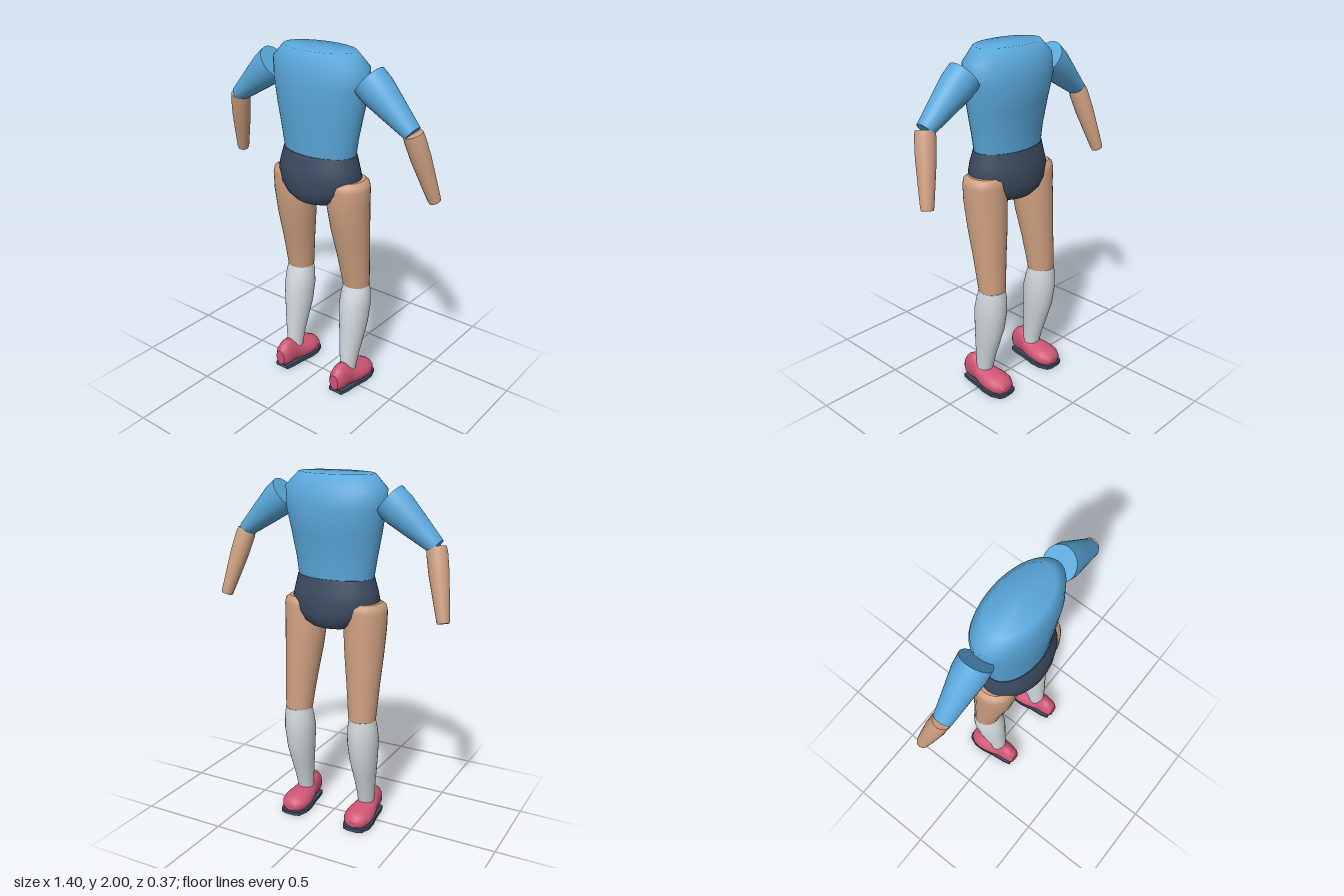
import * as THREE from 'three';

const mat = (name, color) => Object.assign(new THREE.MeshStandardMaterial({ color }), { name });

// Smooth skin through elliptical rings [y, cx, cz, rx, rz], bottom to top, with flat end caps
function loft(rings, seg = 32) {
  const pos = [], idx = [];
  const addRing = ([y, cx, cz, rx, rz]) => {
    const start = pos.length / 3;
    for (let j = 0; j < seg; j++) {
      const a = (j / seg) * Math.PI * 2;
      pos.push(cx + rx * Math.cos(a), y, cz + rz * Math.sin(a));
    }
    return start;
  };
  const starts = rings.map(addRing);
  for (let i = 0; i < rings.length - 1; i++) {
    for (let j = 0; j < seg; j++) {
      const k = (j + 1) % seg, p = starts[i], q = starts[i + 1];
      idx.push(p + j, q + j, p + k, p + k, q + j, q + k);
    }
  }
  // Caps own their vertices so the rims stay crisp
  [[rings[0], false], [rings[rings.length - 1], true]].forEach(([r, top]) => {
    const s = addRing(r), c = pos.length / 3;
    pos.push(r[1], r[0], r[2]);
    for (let j = 0; j < seg; j++) {
      const k = (j + 1) % seg;
      if (top) idx.push(c, s + k, s + j);
      else idx.push(c, s + j, s + k);
    }
  });
  const g = new THREE.BufferGeometry();
  g.setAttribute('position', new THREE.Float32BufferAttribute(pos, 3));
  g.setIndex(idx);
  g.computeVertexNormals();
  return g;
}

// Ring from outline extents: y, xMin, xMax, zMin, zMax
const span = (y, x0, x1, z0, z1) => [y, (x0 + x1) / 2, (z0 + z1) / 2, (x1 - x0) / 2, (z1 - z0) / 2];

// Tapered limb from a to b; sections are [fraction, radius, depth radius]
function limb(a, b, sections) {
  const A = new THREE.Vector3(...a), d = new THREE.Vector3(...b).sub(A), len = d.length();
  const g = loft(sections.map(([t, r, rz]) => [-t * len, 0, 0, r, rz]).reverse());
  g.applyQuaternion(new THREE.Quaternion().setFromUnitVectors(new THREE.Vector3(0, -1, 0), d.normalize()));
  return g.translate(A.x, A.y, A.z);
}

export function createModel() {
  const model = new THREE.Group();
  model.name = 'figure';
  const shirt = mat('shirt blue', 0x5aa8dc);
  const navy = mat('navy', 0x3b4a60);
  const skin = mat('skin', 0xcd9f80);
  const sock = mat('sock grey', 0xd3dade);
  const pink = mat('shoe pink', 0xcf5574);
  const add = (name, geo, material, parent = model) => {
    const m = new THREE.Mesh(geo, material);
    m.name = name;
    parent.add(m);
    return m;
  };

  // Torso, closed softly at the neck
  add('torso', loft([
    span(1.43, -0.222, 0.222, -0.115, 0.152),
    span(1.54, -0.238, 0.238, -0.122, 0.162),
    span(1.68, -0.265, 0.265, -0.142, 0.175),
    span(1.82, -0.29, 0.29, -0.17, 0.185),
    span(1.925, -0.298, 0.298, -0.142, 0.172),
    span(2, -0.222, 0.222, -0.102, 0.145),
    span(2, -0.001, 0.001, 0.02, 0.022),
  ], 40), shirt);

  // Shorts
  add('shorts', loft([
    span(1.17, -0.145, 0.145, -0.11, 0.15),
    span(1.2, -0.195, 0.195, -0.138, 0.175),
    span(1.25, -0.242, 0.242, -0.147, 0.184),
    span(1.32, -0.258, 0.258, -0.147, 0.186),
    span(1.37, -0.247, 0.247, -0.138, 0.18),
    span(1.445, -0.228, 0.228, -0.12, 0.157),
  ], 40), navy);

  for (const s of [1, -1]) {
    const side = new THREE.Group();
    side.name = s > 0 ? 'leftLimbs' : 'rightLimbs';
    model.add(side);
    const mirror = rings => rings.map(([y, cx, ...r]) => [y, cx * s, ...r]);

    // Arm
    add('upperArm', limb([0.312 * s, 1.873, 0.018], [0.58 * s, 1.652, 0.02], [
      [0, 0.098, 0.09], [0.2, 0.096, 0.09], [0.5, 0.078, 0.075], [0.8, 0.059, 0.061], [1, 0.046, 0.052],
    ]), shirt, side);
    add('forearm', limb([0.58 * s, 1.65, 0.018], [0.67 * s, 1.28, -0.08], [
      [0, 0.052, 0.05], [0.08, 0.056, 0.053], [0.35, 0.054, 0.052], [0.7, 0.043, 0.043], [0.96, 0.035, 0.035], [1, 0.031, 0.031],
    ]), skin, side);

    // Leg
    add('thigh', loft(mirror([
      span(0.655, 0.125, 0.282, -0.13, 0.02),
      span(0.72, 0.118, 0.286, -0.128, 0.032),
      span(0.85, 0.103, 0.291, -0.124, 0.06),
      span(1.02, 0.08, 0.299, -0.12, 0.103),
      span(1.17, 0.065, 0.306, -0.113, 0.128),
      span(1.27, 0.07, 0.308, -0.109, 0.13),
      span(1.3, 0.085, 0.3, -0.105, 0.125),
      span(1.318, 0.12, 0.275, -0.085, 0.1),
    ])), skin, side);
    add('sock', loft(mirror([
      span(0.11, 0.158, 0.25, -0.038, 0.064),
      span(0.2, 0.152, 0.258, -0.062, 0.064),
      span(0.3, 0.14, 0.272, -0.094, 0.062),
      span(0.4, 0.127, 0.285, -0.125, 0.058),
      span(0.52, 0.117, 0.294, -0.142, 0.056),
      span(0.6, 0.121, 0.291, -0.139, 0.036),
      span(0.655, 0.13, 0.282, -0.133, 0.018),
    ])), sock, side);

    // Shoe: sections [z, centre height, half width, half height], flattened underneath
    const shoe = loft([
      [-0.178, 0.042, 0.03, 0.018], [-0.165, 0.045, 0.055, 0.04], [-0.13, 0.05, 0.077, 0.053],
      [-0.08, 0.055, 0.084, 0.057], [-0.03, 0.057, 0.077, 0.062], [0.02, 0.065, 0.064, 0.066],
      [0.06, 0.087, 0.055, 0.083], [0.1, 0.085, 0.051, 0.087], [0.135, 0.08, 0.045, 0.07], [0.155, 0.075, 0.03, 0.048],
    ].map(([z, cy, w, h]) => [z, 0, -cy, w, h]));
    shoe.rotateX(Math.PI / 2);
    const p = shoe.attributes.position;
    for (let i = 0; i < p.count; i++) p.setY(i, Math.max(0.02, p.getY(i)));
    shoe.computeVertexNormals();
    add('shoe', shoe.translate(0.207 * s, 0, 0), pink, side);

    // Sole plate
    const half = [[0.03, -0.186], [0.06, -0.175], [0.081, -0.12], [0.081, -0.06], [0.065, 0.02], [0.056, 0.1], [0.045, 0.142]];
    const outline = [...half, ...half.map(([x, z]) => [-x, z]).reverse()];
    const sole = new THREE.ExtrudeGeometry(
      new THREE.Shape(outline.map(([x, z]) => new THREE.Vector2(x, -z))), { depth: 0.021, bevelEnabled: false });
    sole.rotateX(-Math.PI / 2).translate(0.207 * s, 0, 0);
    add('sole', sole, navy, side);
  }
  return model;
}
